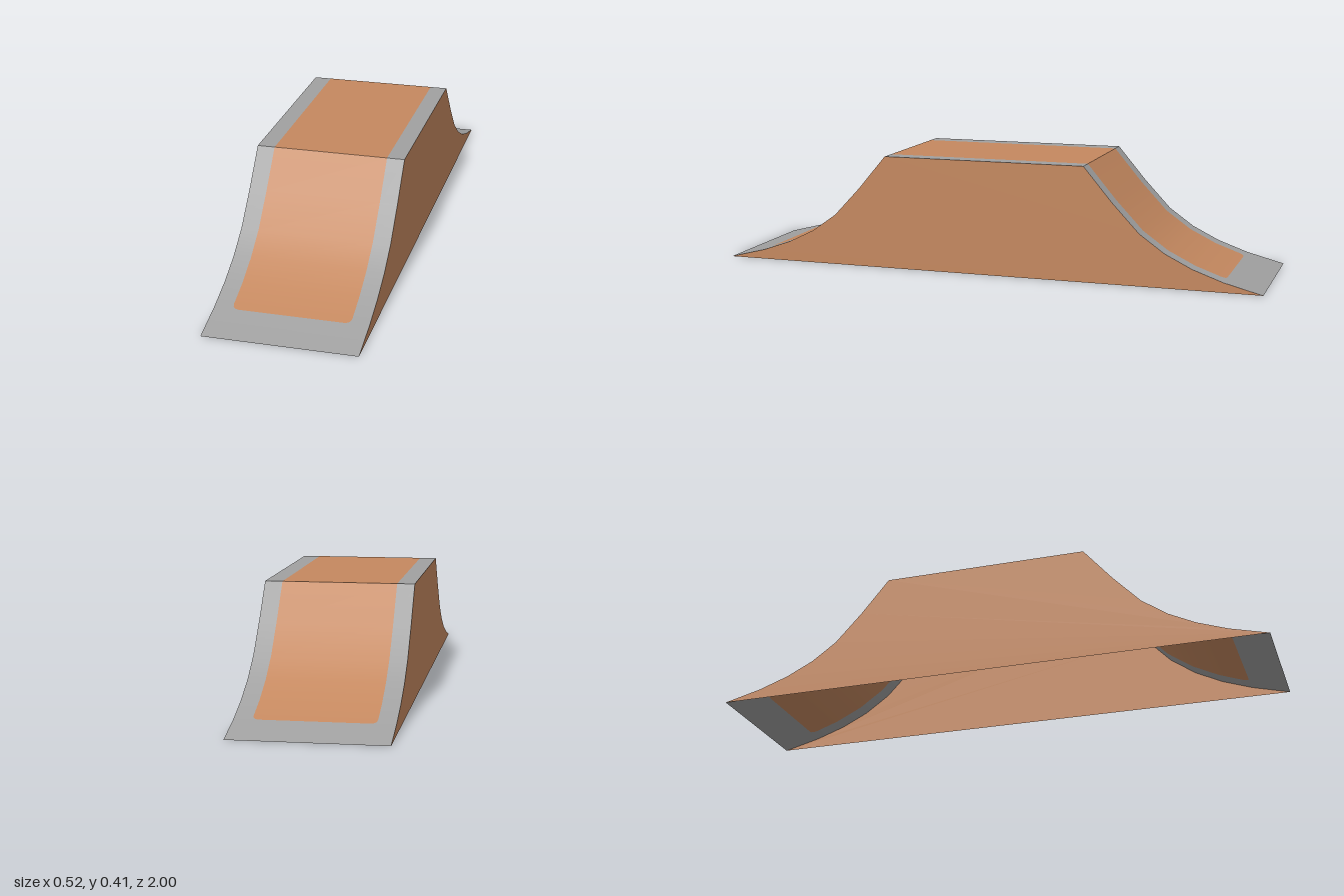
import * as THREE from 'three';

const HALF_WIDTH = 0.261, INSET = 0.2, CORNER = 0.02, DECK_Z = 0.37, DECK_Y = 0.41;

// Ramp profile from toe to deck edge: [z, y]
const PROFILE = [[1, 0], [0.864, 0.035], [0.757, 0.073], [0.66, 0.121],
  [0.57, 0.185], [0.473, 0.288], [DECK_Z, DECK_Y]];

const wood = new THREE.MeshStandardMaterial({ name: 'wood brown', color: 0xc4885f, side: THREE.DoubleSide });
const metal = new THREE.MeshStandardMaterial({ name: 'metal grey', color: 0xa0a0a0, side: THREE.DoubleSide });

// Stations along the ramp, each with a smooth normal and the half width of the inset
function rampStations() {
  const base = PROFILE.map(([z, y], i) => {
    const a = PROFILE[Math.max(i - 1, 0)], b = PROFILE[Math.min(i + 1, PROFILE.length - 1)];
    const n = new THREE.Vector2(b[1] - a[1], a[0] - b[0]).normalize();
    return { z, y, nz: n.x, ny: n.y, w: INSET };
  });
  const [, p, q] = base;
  const corner = [0, 0.003, 0.01, CORNER].map((d) => {
    const t = d / (p.z - q.z), mix = (k) => THREE.MathUtils.lerp(p[k], q[k], t);
    const w = INSET - CORNER + Math.sqrt(CORNER ** 2 - (CORNER - d) ** 2);
    return { z: mix('z'), y: mix('y'), nz: mix('nz'), ny: mix('ny'), w };
  });
  return [base[0], ...corner, ...base.slice(2)];
}

// Thin sheet following the stations between two x limits
function sheet(name, material, stations, lo, hi) {
  const pos = [], nor = [], idx = [];
  stations.forEach((s, i) => {
    pos.push(lo(s), s.y, s.z, hi(s), s.y, s.z);
    nor.push(0, s.ny, s.nz, 0, s.ny, s.nz);
    const k = 2 * i;
    if (i < stations.length - 1) idx.push(k, k + 1, k + 3, k, k + 3, k + 2);
  });
  const geo = new THREE.BufferGeometry();
  geo.setAttribute('position', new THREE.Float32BufferAttribute(pos, 3));
  geo.setAttribute('normal', new THREE.Float32BufferAttribute(nor, 3));
  geo.setIndex(idx);
  const mesh = new THREE.Mesh(geo, material);
  mesh.name = name;
  return mesh;
}

// Brown inset with a grey border on either side
function borderedSheet(name, stations) {
  const group = new THREE.Group();
  group.name = name;
  group.add(
    sheet(name + 'Inset', wood, stations, (s) => -s.w, (s) => s.w),
    sheet(name + 'RightBorder', metal, stations, () => -HALF_WIDTH, (s) => -s.w),
    sheet(name + 'LeftBorder', metal, stations, (s) => s.w, () => HALF_WIDTH));
  return group;
}

export function createModel() {
  const model = new THREE.Group();
  model.name = 'doubleRamp';

  // Curved ramps at front and back
  const stations = rampStations();
  ['frontRamp', 'backRamp'].forEach((name, i) => {
    const ramp = borderedSheet(name, stations.slice(1));
    ramp.add(sheet(name + 'Toe', metal, stations.slice(0, 2), () => -HALF_WIDTH, () => HALF_WIDTH));
    ramp.rotation.y = i * Math.PI;
    model.add(ramp);
  });

  // Flat deck
  model.add(borderedSheet('deck', [DECK_Z, -DECK_Z].map((z) => ({ z, y: DECK_Y, nz: 0, ny: 1, w: INSET }))));

  // Side walls; the underside stays open
  const outline = [...PROFILE, ...PROFILE.map(([z, y]) => [-z, y]).reverse()];
  const wallGeo = new THREE.ShapeGeometry(new THREE.Shape(outline.map(([z, y]) => new THREE.Vector2(z, y))));
  [['leftWall', 1], ['rightWall', -1]].forEach(([name, side]) => {
    const wall = new THREE.Mesh(wallGeo, wood);
    wall.name = name;
    wall.position.x = side * HALF_WIDTH;
    wall.rotation.y = side * Math.PI / 2;
    model.add(wall);
  });

  return model;
}
